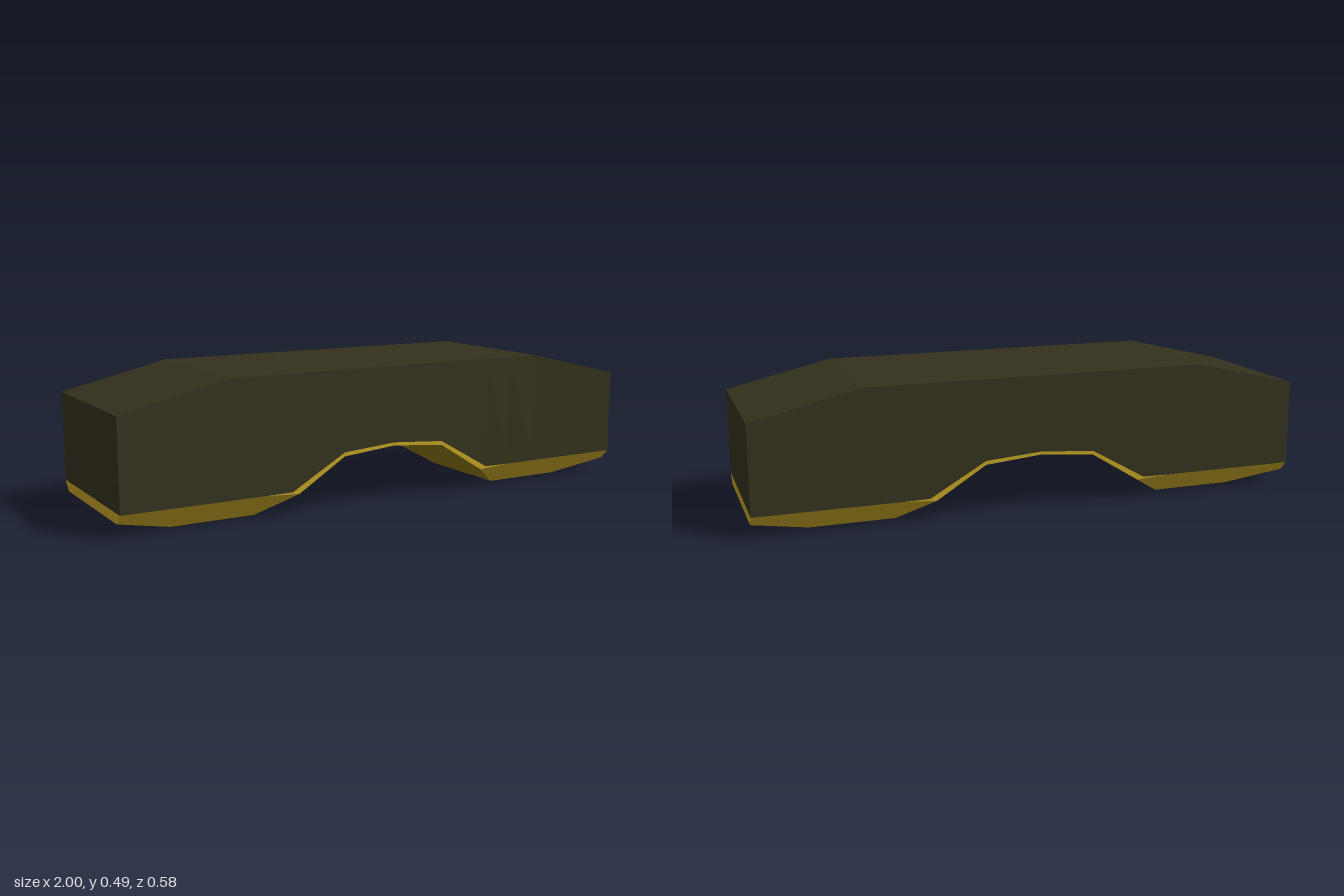
import * as THREE from 'three';

const HALF_DEPTH = 0.288;

// Half of the side profile: [x, top height, lower edge of shell, start of bevel, underside height]
const half = [
  [0, 0.487, 0.217, 0.206, 0.206],
  [0.2, 0.487, 0.202, 0.188, 0.188],
  [0.377, 0.487, 0.101, 0.078, 0.078],
  [0.4, 0.487, 0.087, 0.08, 0.063],
  [0.5, 0.487, 0.086, 0.086, 0],
  [0.62, 0.487, 0.086, 0.086, 0],
  [0.8, 0.444, 0.086, 0.086, 0],
  [1, 0.397, 0.086, 0.086, 0.051],
];
const stations = [...half.slice(1).reverse().map(([x, ...r]) => [-x, ...r]), ...half];

// Cross-section ring, from the top front edge down and round to the top back edge
function ring([x, top, split, bevel, under]) {
  const w = Math.min(HALF_DEPTH, 0.19 + under * 1.26);
  const side = [[top, HALF_DEPTH], [split, HALF_DEPTH], [bevel, HALF_DEPTH], [under, w]];
  const back = side.map(([y, z]) => [y, -z]).reverse();
  return [...side, ...back].map(([y, z]) => new THREE.Vector3(x, y, z));
}

// Flat-shaded mesh from separate triangles, skipping collapsed ones
function facetMesh(name, triangles, material) {
  const points = triangles
    .filter((t) => new THREE.Triangle(...t).getArea() > 1e-7)
    .flat();
  const geometry = new THREE.BufferGeometry().setFromPoints(points);
  geometry.computeVertexNormals();
  const mesh = new THREE.Mesh(geometry, material);
  mesh.name = name;
  return mesh;
}

function paint(name, color) {
  const material = new THREE.MeshStandardMaterial({ color });
  material.name = name;
  return material;
}

const quad = (a, b, c, d) => [[a, b, c], [a, c, d]];

export function createModel() {
  const olive = paint('darkOlive', 0x33311c);
  const gold = paint('ochreYellow', 0xc0a023);
  const darkGold = paint('darkOchre', 0x8a7318);

  const shell = [], trim = [], arch = [], feet = [];
  const rings = stations.map(ring);

  // Skin between neighbouring cross-sections
  for (let i = 0; i < rings.length - 1; i++) {
    const a = rings[i], b = rings[i + 1];
    const middle = Math.abs(stations[i][0] + stations[i + 1][0]) / 2;
    for (let k = 0; k < 8; k++) {
      const n = (k + 1) % 8;
      let target = trim;
      if (k === 0 || k === 6 || k === 7) target = shell;
      if (k === 3) target = middle < 0.5 ? arch : feet;
      target.push(...quad(a[k], a[n], b[n], b[k]));
    }
  }

  // End faces: upper olive panel with a yellow band under it
  for (const [r, right] of [[rings[0], false], [rings[rings.length - 1], true]]) {
    const add = (list, a, b, c, d) => list.push(...(right ? quad(a, b, c, d) : quad(d, c, b, a)));
    add(shell, r[0], r[1], r[6], r[7]);
    add(trim, r[2], r[3], r[4], r[5]);
  }

  const group = new THREE.Group();
  group.name = 'archedBlock';
  group.add(
    facetMesh('upperShell', shell, olive),
    facetMesh('bevelTrim', trim, gold),
    facetMesh('archUnderside', arch, darkGold),
    facetMesh('footSoles', feet, olive),
  );
  return group;
}
